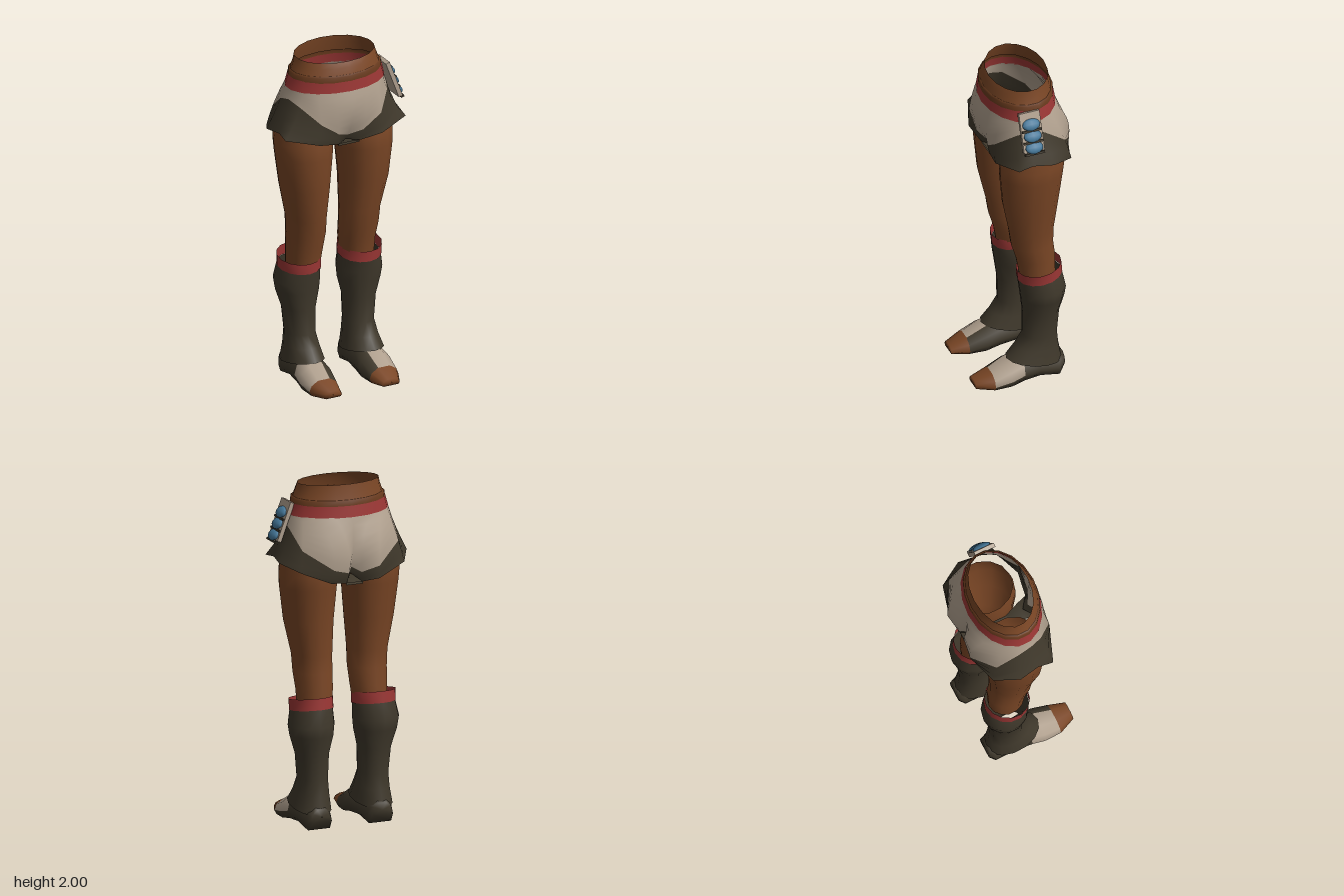
import * as THREE from 'three';

function material(name, color) {
  const m = new THREE.MeshStandardMaterial({ color, side: THREE.DoubleSide });
  m.name = name;
  return m;
}

const skin = material('brown skin', 0x7a4625);
const leather = material('dark leather', 0x683a1d);
const cloth = material('beige cloth', 0xb0a08e);
const dark = material('dark brown cloth', 0x3f382b);
const red = material('red trim', 0x9a3634);
const blue = material('blue scale', 0x45789a);

// Joins closed rings of points into a smooth shell; pick(row, column) chooses a material.
function loft(name, rings, mats, pick = () => 0) {
  const n = rings[0].length;
  const lists = mats.map(() => []);
  for (let i = 0; i < rings.length - 1; i++) {
    for (let j = 0; j < n; j++) {
      const k = (j + 1) % n;
      const a = i * n + j, b = i * n + k, c = a + n, d = b + n;
      lists[pick(i, j)].push(c, d, b, c, b, a);
    }
  }
  const geo = new THREE.BufferGeometry();
  geo.setAttribute('position', new THREE.Float32BufferAttribute(rings.flat(2), 3));
  geo.setIndex(lists.flat());
  let start = 0;
  lists.forEach((list, m) => {
    geo.addGroup(start, list.length, m);
    start += list.length;
  });
  geo.computeVertexNormals();
  const mesh = new THREE.Mesh(geo, mats.length > 1 ? mats : mats[0]);
  mesh.name = name;
  return mesh;
}

// Oval ring from its extents; dy tilts the front up and the back down.
function ring([y, x0, x1, zBack, zFront, dy = 0], n = 14) {
  return Array.from({ length: n }, (_, j) => {
    const a = (j / n) * Math.PI * 2;
    return [
      (x0 + x1) / 2 + ((x1 - x0) / 2) * Math.sin(a),
      y + dy * Math.cos(a),
      (zBack + zFront) / 2 + ((zFront - zBack) / 2) * Math.cos(a),
    ];
  });
}

const tube = (name, rows, mat, n) => loft(name, rows.map((r) => ring(r, n)), [mat]);

// Shorts columns from front to back: mid x, z; hem x, y, z; height of the colour edge
const COLUMNS = [
  [0, 0.19, 0, 1.49, 0.10, 1.53],
  [0.09, 0.18, 0.07, 1.49, 0.15, 1.56],
  [0.19, 0.165, 0.20, 1.515, 0.17, 1.64],
  [0.30, 0.08, 0.385, 1.555, 0.10, 1.73],
  [0.335, 0, 0.375, 1.565, 0.01, 1.76],
  [0.34, -0.09, 0.395, 1.555, -0.11, 1.74],
  [0.29, -0.20, 0.32, 1.52, -0.245, 1.64],
  [0.15, -0.285, 0.15, 1.45, -0.28, 1.53],
  [0.05, -0.28, 0.05, 1.44, -0.27, 1.50],
  [0, -0.255, 0, 1.48, -0.21, 1.52],
];

function shorts() {
  const yTop = 1.82, yMid = 1.68, upper = 6, lower = 3;
  const point = (col, i, row) => {
    const [mx, mz, hx, hy, hz, edge] = col;
    const a = (i / 9) * Math.PI;
    const y = row <= upper
      ? yTop + (edge - yTop) * (row / upper)
      : edge + (hy - edge) * ((row - upper) / lower);
    // parabola through waist, middle and hem
    const t = (yTop - y) / (yTop - hy), m = (yTop - yMid) / (yTop - hy);
    const mix = (p, q, r) =>
      p * ((t - m) * (t - 1)) / m + q * (t * (t - 1)) / (m * (m - 1)) + r * (t * (t - m)) / (1 - m);
    return [mix(0.3 * Math.sin(a), mx, hx), y, mix(-0.035 + 0.208 * Math.cos(a), mz, hz)];
  };
  const rings = [];
  for (let row = 0; row <= upper + lower; row++) {
    const half = COLUMNS.map((c, i) => point(c, i, row));
    const other = half.slice(1, -1).reverse().map(([x, y, z]) => [-x, y, z]);
    rings.push([...half, ...other]);
  }
  return loft('shorts', rings, [cloth, dark], (i) => (i < upper ? 0 : 1));
}

// Narrow strip of cloth between the legs: half width, y, z
function crotch() {
  const rows = [
    [0.065, 1.49, 0.145], [0.05, 1.475, 0.09], [0.016, 1.465, 0],
    [0.016, 1.465, -0.13], [0.04, 1.455, -0.22], [0.05, 1.44, -0.27],
  ];
  const rings = rows.map(([w, y, z]) => [[w, y, z], [-w, y, z], [-w, y - 0.012, z], [w, y - 0.012, z]]);
  return loft('crotchStrip', rings, [dark]);
}

function foot() {
  const outline = [
    [-0.85, 0], [0.85, 0], [1, 0.3], [0.85, 0.7], [0.4, 1], [-0.4, 1], [-0.85, 0.7], [-1, 0.3],
  ];
  // z, inner x, outer x, top y, bottom y; first and last close the ends
  const sections = [
    [0.302, 0.185, 0.19, 0.03, 0.028],
    [0.30, 0.13, 0.24, 0.05, 0.01],
    [0.20, 0.10, 0.285, 0.085, 0],
    [0.10, 0.085, 0.295, 0.135, 0.005],
    [0.02, 0.09, 0.285, 0.16, 0.02],
    [-0.08, 0.10, 0.275, 0.15, 0.025],
    [-0.20, 0.11, 0.27, 0.14, 0],
    [-0.235, 0.13, 0.25, 0.12, 0.05],
    [-0.236, 0.185, 0.19, 0.08, 0.078],
  ];
  const rings = sections.map(([z, x0, x1, top, bottom]) =>
    outline.map(([u, v]) => [(x0 + x1) / 2 + (u * (x1 - x0)) / 2, bottom + v * (top - bottom), z]));
  return loft('foot', rings, [skin, cloth, dark], (i, j) => {
    if (i < 2) return 0; // toes
    return i < 4 && j >= 2 && j <= 4 ? 1 : 2; // instep, then sole and heel
  });
}

// Rows: y, inner x, outer x, back z, front z, tilt
function leg() {
  const g = new THREE.Group();
  g.add(tube('thigh', [
    [1.58, 0.03, 0.345, -0.235, 0.115],
    [1.48, 0.02, 0.36, -0.245, 0.133],
    [1.4, 0.028, 0.355, -0.235, 0.135],
    [1.2, 0.045, 0.33, -0.21, 0.118],
    [1.0, 0.055, 0.288, -0.19, 0.075],
    [0.9, 0.055, 0.283, -0.187, 0.06],
    [0.8, 0.06, 0.275, -0.2, 0.03],
    [0.68, 0.075, 0.27, -0.2, 0.01],
  ], skin));
  g.add(tube('bootCuff', [
    [0.75, 0.067, 0.322, -0.225, 0.033, -0.02],
    [0.685, 0.065, 0.32, -0.232, 0.03, -0.018],
  ], red));
  g.add(tube('boot', [
    [0.685, 0.07, 0.318, -0.23, 0.028, -0.018],
    [0.6, 0.065, 0.335, -0.25, 0.02],
    [0.54, 0.07, 0.325, -0.242, 0.012],
    [0.43, 0.095, 0.29, -0.215, 0],
    [0.28, 0.1, 0.275, -0.205, 0],
    [0.2, 0.09, 0.285, -0.215, 0.045, 0.01],
    [0.115, 0.075, 0.305, -0.235, 0.1, 0.03],
  ], dark));
  g.add(foot());
  return g;
}

// Hanging strip with three overlapping scales on the left hip
function hipOrnament() {
  const g = new THREE.Group();
  g.name = 'hipOrnament';
  const strip = new THREE.Mesh(new THREE.BoxGeometry(0.025, 0.235, 0.125), cloth);
  strip.name = 'hipStrip';
  g.add(strip);
  for (let i = 0; i < 3; i++) {
    const y = 0.045 - i * 0.068;
    const scale = new THREE.Mesh(new THREE.SphereGeometry(1, 10, 6), blue);
    scale.name = 'hipScale';
    scale.scale.set(0.02, 0.036, 0.055);
    scale.position.set(0.017, y, 0);
    scale.rotation.z = 0.3;
    const back = new THREE.Mesh(new THREE.BoxGeometry(0.02, 0.012, 0.118), dark);
    back.name = 'scaleEdge';
    back.position.set(0.012, y - 0.036, 0);
    g.add(scale, back);
  }
  g.position.set(0.33, 1.775, 0.005);
  g.rotation.z = 0.36;
  return g;
}

export function createModel() {
  const model = new THREE.Group();
  model.name = 'lowerBody';

  // Waist, belt ridge and red waistband
  model.add(tube('waist', [
    [1.99, -0.243, 0.243, -0.205, 0.128, -0.01],
    [1.95, -0.253, 0.253, -0.213, 0.145],
    [1.9, -0.272, 0.272, -0.225, 0.16],
  ], skin, 18));
  model.add(tube('beltRidge', [
    [1.912, -0.268, 0.268, -0.223, 0.158],
    [1.905, -0.28, 0.28, -0.233, 0.168],
    [1.875, -0.284, 0.284, -0.234, 0.168],
  ], leather, 18));
  model.add(tube('waistband', [
    [1.88, -0.284, 0.284, -0.234, 0.167],
    [1.815, -0.302, 0.302, -0.245, 0.175],
  ], red, 18));

  model.add(shorts(), crotch(), hipOrnament());

  for (const side of [1, -1]) {
    const l = leg();
    l.name = side > 0 ? 'leftLeg' : 'rightLeg';
    l.scale.x = side;
    model.add(l);
  }
  return model;
}
